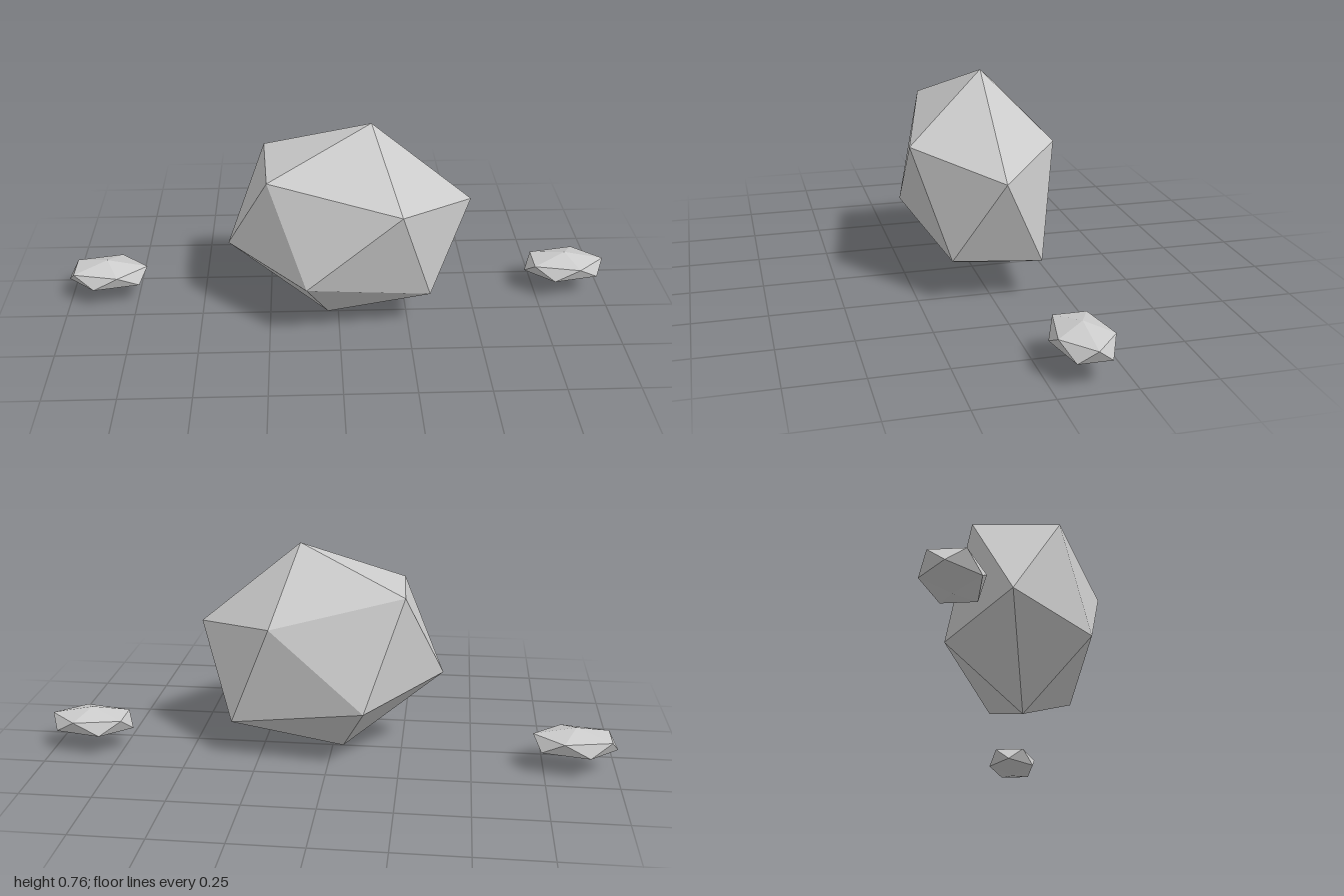
import * as THREE from 'three';

// Twenty-faced rock from a top point, two rings of five points and a bottom point
function rockGeometry(top, upper, lower, bottom) {
  const pos = [];
  const tri = (...pts) => pts.forEach((p) => pos.push(...p));
  for (let i = 0; i < 5; i++) {
    const j = (i + 1) % 5;
    tri(top, upper[j], upper[i]);
    tri(upper[i], upper[j], lower[i]);
    tri(lower[j], lower[i], upper[j]);
    tri(lower[i], lower[j], bottom);
  }
  const geo = new THREE.BufferGeometry();
  geo.setAttribute('position', new THREE.Float32BufferAttribute(pos, 3));
  geo.computeVertexNormals();
  return geo;
}

// Regular five-point ring, stretched along x
function ring(y, turn, rx, rz) {
  return Array.from({ length: 5 }, (_, i) => {
    const a = turn + (i * Math.PI * 2) / 5;
    return [rx * Math.cos(a), y, rz * Math.sin(a)];
  });
}

export function createModel() {
  const model = new THREE.Group();
  model.name = 'rocks';
  const stone = new THREE.MeshStandardMaterial({ color: 0xcccccc, flatShading: true });
  stone.name = 'stone grey';

  // Large tilted rock, slightly irregular
  const large = new THREE.Mesh(rockGeometry(
    [0.112, 0.76, 0],
    [[0.467, 0.466, 0], [0.205, 0.533, 0.262], [-0.245, 0.61, 0.145], [-0.26, 0.618, -0.155], [0.192, 0.517, -0.236]],
    [[0.32, 0.163, 0.145], [-0.117, 0.247, 0.242], [-0.392, 0.304, 0], [-0.13, 0.236, -0.26], [0.342, 0.146, -0.158]],
    [-0.038, 0.003, 0],
  ), stone);
  large.name = 'largeRock';
  model.add(large);

  // Two flat small rocks, one on each side
  const smallGeo = rockGeometry(
    [0, 0.053, 0],
    ring(0.0237, 0, 0.146, 0.0935),
    ring(-0.0237, Math.PI / 5, 0.146, 0.0935),
    [0, -0.053, 0],
  );
  for (const [name, x] of [['leftSmallRock', 0.854], ['rightSmallRock', -0.854]]) {
    const rock = new THREE.Mesh(smallGeo, stone);
    rock.name = name;
    rock.position.set(x, 0.113, -0.122);
    model.add(rock);
  }
  return model;
}
